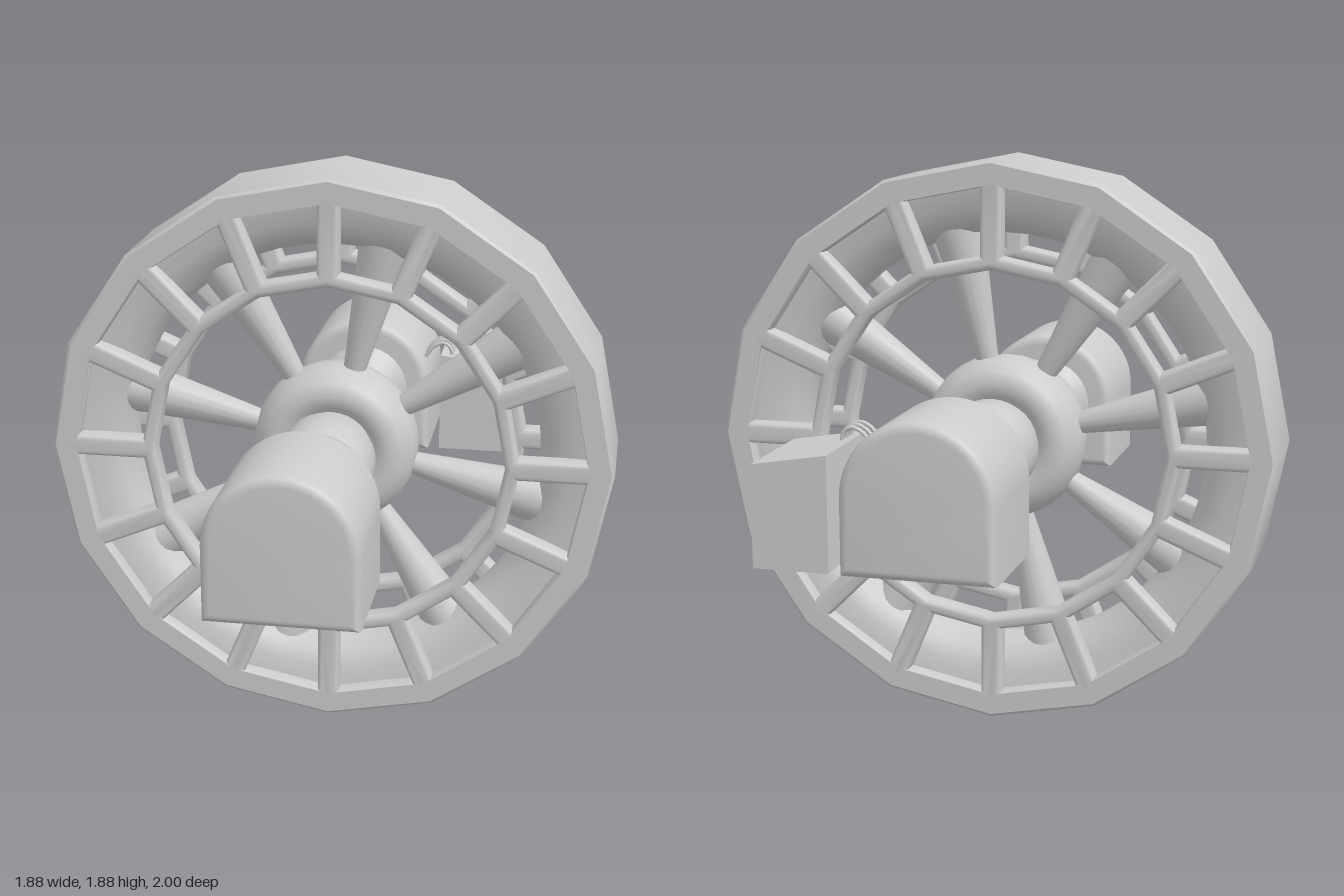
import * as THREE from 'three';
import { toCreasedNormals } from 'three/addons/utils/BufferGeometryUtils.js';

const SIDES = 16;
const AXLE_Y = 0.94;
const mat = new THREE.MeshStandardMaterial({ color: 0xcccccc, side: THREE.DoubleSide });

function add(parent, name, geometry) {
  const mesh = new THREE.Mesh(geometry, mat);
  mesh.name = name;
  parent.add(mesh);
  return mesh;
}

const vecs = (pts) => pts.map(([x, y]) => new THREE.Vector2(x, y));

// Revolve [radius, z] points around the axle
function turned(pts, segments, crease = 0.6) {
  const g = new THREE.LatheGeometry(vecs(pts), segments).rotateX(Math.PI / 2);
  return toCreasedNormals(g, crease);
}

// Extrude an outline between two z values, optionally with bevelled edges
function slab(shape, z0, z1, bevel = 0, steps = 3) {
  const g = new THREE.ExtrudeGeometry(shape, {
    depth: z1 - z0 - 2 * bevel, bevelEnabled: bevel > 0, bevelThickness: bevel,
    bevelSize: bevel, bevelOffset: -bevel, bevelSegments: steps, curveSegments: 20,
  });
  g.translate(0, 0, z0 + bevel);
  return toCreasedNormals(g, 0.6);
}

function polygon(radius) {
  const pts = [];
  for (let i = 0; i < SIDES; i++) {
    const a = (i / SIDES) * Math.PI * 2;
    pts.push([radius * Math.cos(a), radius * Math.sin(a)]);
  }
  return vecs(pts);
}

// Side frame: sixteen-sided ring pierced by one window per side
function frameShape() {
  const shape = new THREE.Shape(polygon(0.895));
  shape.holes.push(new THREE.Path(polygon(0.585)));
  const half = Math.PI / SIDES;
  const width = (u) => u * Math.tan(half) - 0.036 / Math.cos(half);
  for (let i = 0; i < SIDES; i++) {
    const a = (i + 0.5) * 2 * half, c = Math.cos(a), s = Math.sin(a);
    const corners = [[0.622, -1], [0.84, -1], [0.84, 1], [0.622, 1]].map(([u, k]) => {
      const v = k * width(u);
      return [u * c - v * s, u * s + v * c];
    });
    shape.holes.push(new THREE.Path(vecs(corners)));
  }
  return shape;
}

function buildWheel() {
  const wheel = new THREE.Group();
  wheel.name = 'wheel';

  add(wheel, 'outerRim', turned([
    [0.86, -0.19], [0.93, -0.19], [0.94, -0.18], [0.94, 0.18],
    [0.93, 0.19], [0.86, 0.19], [0.86, -0.19],
  ], SIDES));

  // Rounded band inside the rim that carries the spokes
  add(wheel, 'innerBand', turned([
    [0.87, 0.14], [0.79, 0.13], [0.73, 0.1], [0.7, 0.055], [0.69, 0],
    [0.7, -0.055], [0.73, -0.1], [0.79, -0.13], [0.87, -0.14],
  ], 48, 0.9));

  const frame = frameShape();
  add(wheel, 'frontFrame', slab(frame, 0.115, 0.19, 0.018));
  add(wheel, 'backFrame', slab(frame, -0.19, -0.115, 0.018));

  // Spokes widen from hub to band
  for (let i = 0; i < 8; i++) {
    const g = new THREE.CylinderGeometry(0.088, 0.032, 0.5, 16);
    g.translate(0, 0.47, 0);
    add(wheel, 'spoke', g).rotation.z = THREE.MathUtils.degToRad(45 * i - 13);
  }

  // Rounded hub, dished where the axle passes through
  add(wheel, 'hub', turned([
    [0.12, -0.09], [0.16, -0.12], [0.2, -0.13], [0.24, -0.11], [0.27, -0.065], [0.28, 0],
    [0.27, 0.065], [0.24, 0.11], [0.2, 0.13], [0.16, 0.12], [0.12, 0.09],
  ], 32, 0.9));
  return wheel;
}

// Axle half and arched end housing, running towards +z
function buildAxleEnd(name) {
  const end = new THREE.Group();
  end.name = name;
  add(end, 'axle', turned([
    [0.14, 0], [0.14, 0.13], [0.16, 0.17], [0.163, 0.25], [0.16, 0.33], [0.15, 0.35],
    [0.1, 0.37], [0.1, 0.52], [0.16, 0.58], [0.16, 0.61],
  ], 32));

  const arch = new THREE.Shape();
  arch.moveTo(-0.24, -0.23);
  arch.lineTo(0.24, -0.23);
  arch.lineTo(0.24, 0.01);
  arch.absarc(0, 0.01, 0.24, 0, Math.PI, false);
  arch.closePath();
  add(end, 'housing', slab(arch, 0.58, 1, 0.03, 4));
  return end;
}

// Side box with a sloping lid and a niche in its outer face, plus its cables
function buildSideBox() {
  const box = new THREE.Group();
  box.name = 'sideBox';
  const full = new THREE.Shape(vecs([[0.28, 0.71], [0.52, 0.71], [0.52, 1.03], [0.28, 1.07]]));
  const notched = new THREE.Shape(vecs([
    [0.28, 0.71], [0.33, 0.71], [0.33, 0.97], [0.52, 0.97], [0.52, 1.03], [0.28, 1.07],
  ]));
  add(box, 'backWall', slab(full, -0.97, -0.9));
  add(box, 'nicheAndLid', slab(notched, -0.9, -0.67));
  add(box, 'frontWall', slab(full, -0.67, -0.61));

  for (const z of [-0.73, -0.69, -0.65]) {
    const path = new THREE.CatmullRomCurve3([
      [0.22, 1.05], [0.25, 1.09], [0.285, 1.105], [0.31, 1.09], [0.32, 1.05],
    ].map(([x, y]) => new THREE.Vector3(x, y, z)));
    add(box, 'cable', new THREE.TubeGeometry(path, 16, 0.007, 8));
  }
  return box;
}

export function createModel() {
  const model = new THREE.Group();
  model.name = 'spokedWheelOnAxle';

  const front = buildAxleEnd('frontAxleEnd');
  const back = buildAxleEnd('backAxleEnd');
  back.rotation.y = Math.PI;
  for (const part of [buildWheel(), front, back]) {
    part.position.y = AXLE_Y;
    model.add(part);
  }
  model.add(buildSideBox());
  return model;
}
